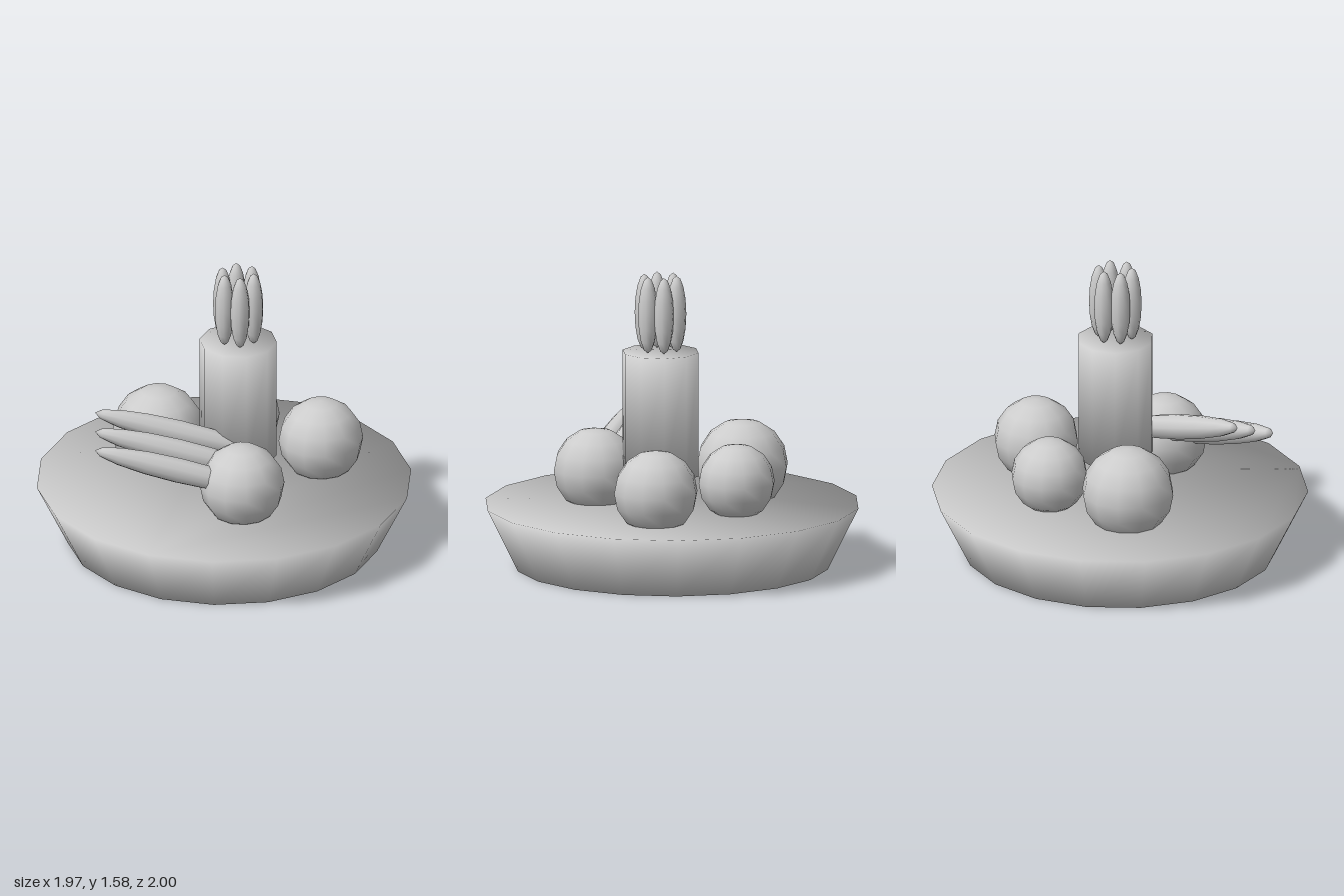
import * as THREE from 'three';

const grey = new THREE.MeshStandardMaterial({ color: 0xcccccc });
grey.name = 'plainGrey';

// Closed frustum whose caps and sides share rim normals, for a soft shaded rim
function softFrustum(rTop, rBottom, height, sides) {
  const pos = [], nor = [], idx = [];
  const slope = Math.hypot(height, rTop - rBottom);
  const out = height / slope, up = (rBottom - rTop) / slope;
  for (const [r, y, cap] of [[rBottom, 0, -1], [rTop, height, 1]]) {
    const n = new THREE.Vector2(out, up + cap).normalize();
    for (let i = 0; i < sides; i++) {
      const a = (i / sides) * Math.PI * 2, s = Math.sin(a), c = Math.cos(a);
      pos.push(r * s, y, r * c);
      nor.push(n.x * s, n.y, n.x * c);
    }
  }
  for (let i = 0; i < sides; i++) {
    const j = (i + 1) % sides;
    idx.push(i, j, sides + j, i, sides + j, sides + i);
    if (i > 0 && i < sides - 1) {
      idx.push(0, j, i);
      idx.push(sides, sides + i, sides + j);
    }
  }
  const g = new THREE.BufferGeometry();
  g.setAttribute('position', new THREE.Float32BufferAttribute(pos, 3));
  g.setAttribute('normal', new THREE.Float32BufferAttribute(nor, 3));
  g.setIndex(idx);
  return g;
}

export function createModel() {
  const model = new THREE.Group();
  model.name = 'fruitBowl';

  const add = (name, geometry, x, y, z) => {
    const mesh = new THREE.Mesh(geometry, grey);
    mesh.name = name;
    mesh.position.set(x, y, z);
    model.add(mesh);
    return mesh;
  };

  // Bowl
  add('bowl', softFrustum(1, 0.835, 0.335, 18), 0, 0, 0);

  // Round fruit: x, z, radius
  const rounds = [
    [-0.42, -0.09, 0.247],
    [-0.085, -0.42, 0.206],
    [0.415, -0.335, 0.226],
    [0.25, 0.33, 0.226],
  ];
  rounds.forEach(([x, z, r], i) =>
    add('roundFruit' + (i + 1), new THREE.SphereGeometry(r, 12, 8), x, 0.502, z));

  // Pineapple body and its crown of six leaves
  add('pineappleBody', softFrustum(0.206, 0.206, 0.67, 10), 0.082, 0.5, 0);
  for (let i = 0; i < 6; i++) {
    const a = (i * Math.PI) / 3;
    const leaf = add('pineappleLeaf' + (i + 1), new THREE.SphereGeometry(1, 10, 8),
      0.082 + 0.09 * Math.cos(a), 1.378, 0.09 * Math.sin(a));
    leaf.scale.set(0.052, 0.206, 0.052);
  }

  // Bananas: parallel long fruit, given by their free tips
  const axis = new THREE.Vector3(-0.86, 0.28, 0.43).normalize();
  const half = 0.46;
  const tips = [[-0.535, 0.84, 0.485], [-0.485, 0.79, 0.6], [-0.435, 0.74, 0.715]];
  tips.forEach((t, i) => {
    const c = new THREE.Vector3(...t).addScaledVector(axis, -half);
    const banana = add('banana' + (i + 1), new THREE.SphereGeometry(1, 10, 8), c.x, c.y, c.z);
    banana.scale.set(0.068, half, 0.068);
    banana.quaternion.setFromUnitVectors(new THREE.Vector3(0, 1, 0), axis);
  });

  return model;
}
